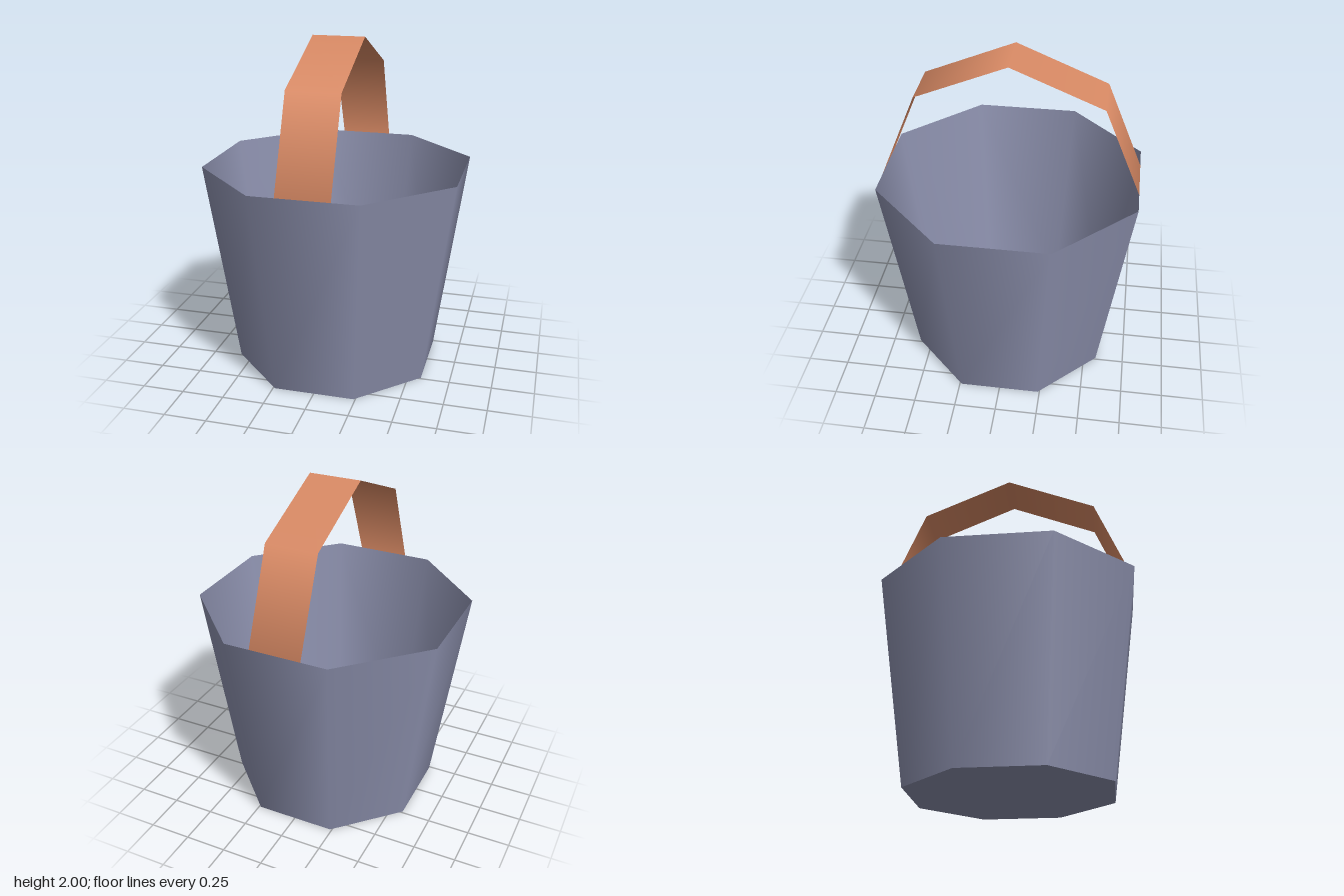
import * as THREE from 'three';

const material = (name, color) => {
  const m = new THREE.MeshStandardMaterial({ color, side: THREE.DoubleSide });
  m.name = name;
  return m;
};

export function createModel() {
  const group = new THREE.Group();
  group.name = 'bucket';
  const metal = material('blueGreyMetal', 0x8c90ad);
  const copper = material('copperOrange', 0xdc8c66);

  const add = (name, geometry, mat, y) => {
    const mesh = new THREE.Mesh(geometry, mat);
    mesh.name = name;
    mesh.position.y = y;
    group.add(mesh);
  };

  // Octagon sizes measured across the flats, converted to corner radii
  const height = 1.25;
  const turn = Math.PI / 8;
  const topRadius = 0.75 / Math.cos(turn);
  const bottomRadius = 0.577 / Math.cos(turn);

  // Open, tapered eight-sided wall with smooth normals
  add('wall', new THREE.CylinderGeometry(topRadius, bottomRadius, height, 8, 1, true, turn), metal, height / 2);

  // Flat floor, facing down
  add('floor', new THREE.CircleGeometry(bottomRadius, 8, turn).rotateX(Math.PI / 2), metal, 0);

  // Thin strap arching from the front rim to the back rim
  const strap = new THREE.CylinderGeometry(0.75, 0.75, 0.31, 4, 1, true, 0, Math.PI);
  add('handle', strap.rotateZ(Math.PI / 2), copper, height);

  return group;
}
